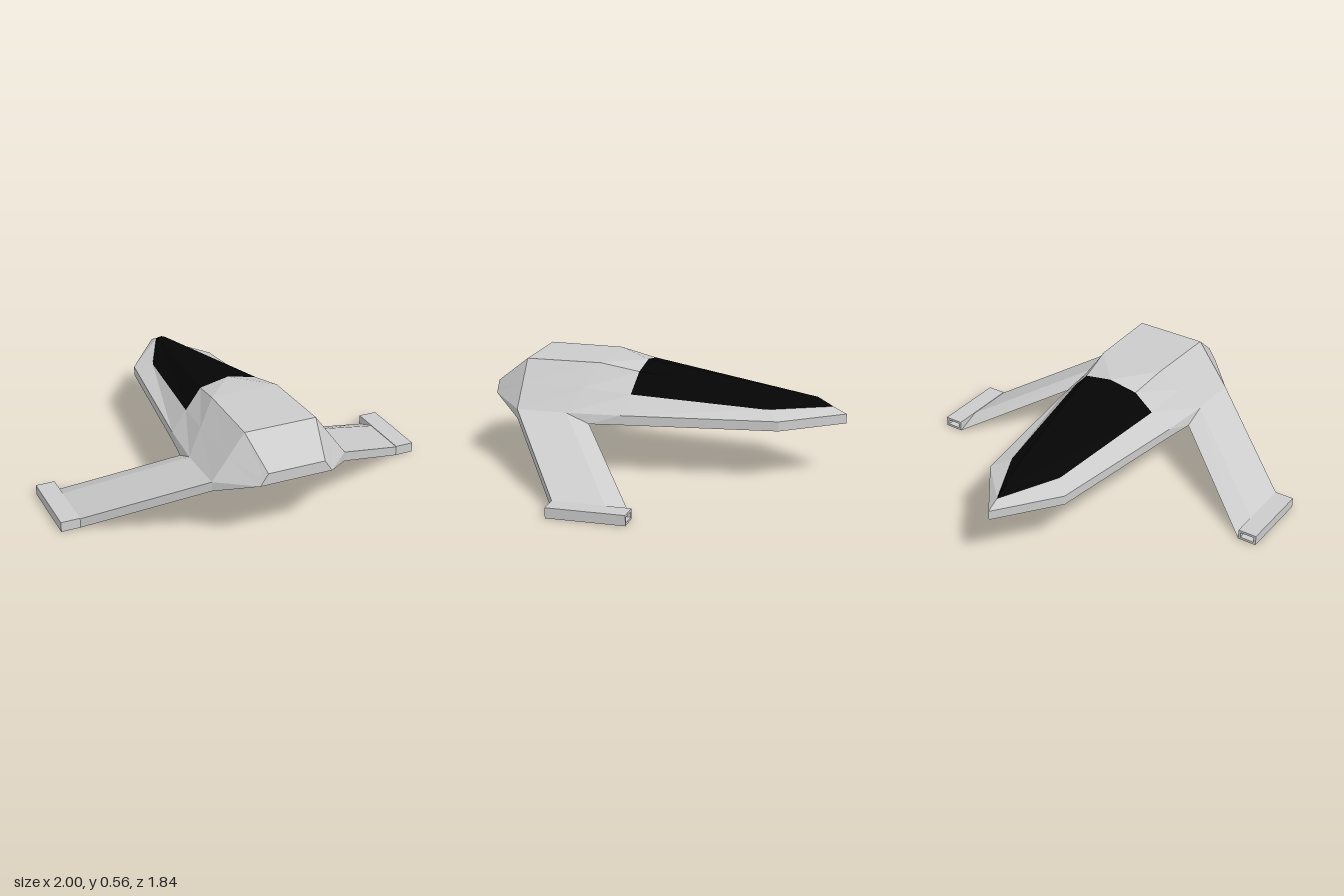
import * as THREE from 'three';

const grey = new THREE.MeshStandardMaterial({ color: 0xcccccc, flatShading: true });
const black = new THREE.MeshStandardMaterial({ color: 0x050505, flatShading: true });

// Adds a quad on the +x side and, if asked, its mirror image on the -x side
function quad(out, a, b, c, d, mirror = true) {
  for (const tri of [[a, b, c], [a, c, d]]) {
    const [p, q, r] = tri.map((v) => new THREE.Vector3(...v));
    const area = q.clone().sub(p).cross(r.clone().sub(p)).length();
    if (area < 1e-7) continue;
    out.push(...tri.flat());
    if (mirror) out.push(...[tri[0], tri[2], tri[1]].flatMap(([x, y, z]) => [-x, y, z]));
  }
}

// Joins neighbouring cross-sections between columns j0 and j1
function loft(out, rows, j0, j1, mirror) {
  for (let i = 0; i + 1 < rows.length; i++) {
    for (let j = j0; j < j1; j++) {
      quad(out, rows[i][j], rows[i + 1][j], rows[i + 1][j + 1], rows[i][j + 1], mirror);
    }
  }
}

function facets(name, positions, material) {
  const geometry = new THREE.BufferGeometry();
  geometry.setAttribute('position', new THREE.Float32BufferAttribute(positions, 3));
  geometry.computeVertexNormals();
  const mesh = new THREE.Mesh(geometry, material);
  mesh.name = name;
  return mesh;
}

const between = (a, b) => a.map((v, i) => (v + b[i]) / 2);

// Half section: keel centre, bottom edge, side edge, canopy edge, shoulder, ridge
const section = (bottom, side, edge, shoulder, ridge) => [
  [0, bottom[1], bottom[2]], bottom, side, edge ?? between(side, shoulder), shoulder, ridge,
];

const hullRows = [
  section([0.19, 0.36, 0.92], [0.19, 0.36, 0.92], null, [0.15, 0.42, 0.92], [0, 0.42, 0.92]),
  section([0.36, 0.28, 0.74], [0.36, 0.33, 0.74], null, [0.19, 0.56, 0.74], [0, 0.56, 0.74]),
  section([0.36, 0.28, 0.35], [0.36, 0.33, 0.47], null, [0.18, 0.56, 0.34], [0, 0.56, 0.34]),
  section([0.335, 0.28, 0.19], [0.335, 0.33, 0.19], [0.245, 0.42, 0.16], [0.155, 0.52, 0.14], [0, 0.55, 0.135]),
  section([0.23, 0.28, -0.61], [0.23, 0.33, -0.61], [0.15, 0.365, -0.53], [0.02, 0.405, -0.76], [0, 0.41, -0.77]),
  section([0, 0.28, -0.92], [0, 0.33, -0.92], [0, 0.365, -0.85], [0, 0.365, -0.85], [0, 0.365, -0.85]),
];

function createHull() {
  const out = [];
  loft(out, hullRows.slice(0, 4), 0, 5);
  loft(out, hullRows.slice(3), 0, 3);
  // Blunt front face
  const f = hullRows[0];
  quad(out, f[0], f[1], f[4], f[5]);
  return facets('hull', out, grey);
}

function createCanopy() {
  const out = [];
  loft(out, hullRows.slice(3), 3, 5);
  return facets('canopy', out, black);
}

// Swept, drooping wings with a bevelled trailing edge
function createWings() {
  const rib = (x, y, z) => [
    [x, y, z], [x, y + 0.05, z], [x, y + 0.05, z - 0.27], [x, y, z - 0.39], [x, y, z],
  ];
  const out = [];
  const tip = rib(0.9, 0, 0.36);
  tip[3] = [0.9, 0, -0.04];
  loft(out, [rib(0.36, 0.28, 0.74), tip], 0, 4);
  return facets('wings', out, grey);
}

// Wing-tip pod with a hollow rear end
function createPod(side) {
  const pod = new THREE.Group();
  pod.name = side > 0 ? 'leftPod' : 'rightPod';
  const w = 0.1, h = 0.053, rim = 0.013;

  const body = new THREE.Mesh(new THREE.BoxGeometry(w, h, 0.32), grey);
  body.name = 'podBody';
  body.position.set(0, h / 2, 0.2);

  const shape = new THREE.Shape([[-w / 2, 0], [w / 2, 0], [w / 2, h], [-w / 2, h]]
    .map((p) => new THREE.Vector2(...p)));
  shape.holes.push(new THREE.Path([
    [-w / 2 + rim, rim], [-w / 2 + rim, h - rim], [w / 2 - rim, h - rim], [w / 2 - rim, rim],
  ].map((p) => new THREE.Vector2(...p))));
  const nozzle = new THREE.Mesh(
    new THREE.ExtrudeGeometry(shape, { depth: 0.08, bevelEnabled: false }), grey);
  nozzle.name = 'podNozzle';
  nozzle.position.z = -0.04;

  pod.add(body, nozzle);
  pod.position.x = side * 0.95;
  return pod;
}

export function createModel() {
  const model = new THREE.Group();
  model.name = 'spacecraft';
  model.add(createHull(), createCanopy(), createWings(), createPod(1), createPod(-1));
  return model;
}
